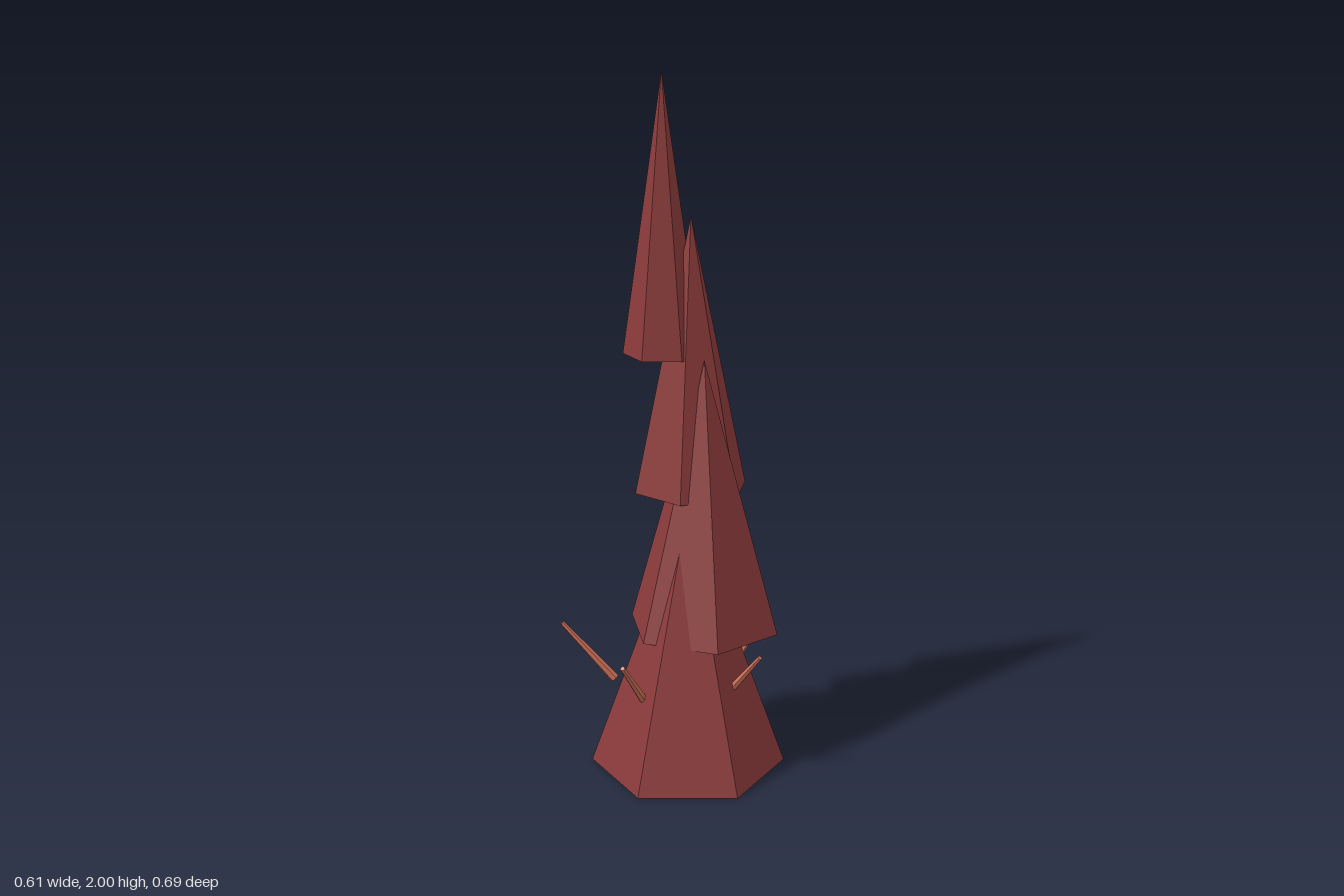
import * as THREE from 'three';

export function createModel() {
  const model = new THREE.Group();
  model.name = 'stackedSpire';

  const spireRed = new THREE.MeshStandardMaterial({ color: 0x8b3a3a, flatShading: true });
  spireRed.name = 'spireRed';
  const twigCopper = new THREE.MeshStandardMaterial({ color: 0xcd7058, flatShading: true });
  twigCopper.name = 'twigCopper';

  // Four six-sided cones, each narrower, shifted and twisted 40 degrees from the one below
  const height = 0.8;
  const centres = [[-0.031, 0.058], [0.045, 0.018], [0.0475, -0.063], [-0.018, -0.112]];
  centres.forEach(([x, z], i) => {
    const radius = 0.283 * (1 - i * 0.2);
    const cone = new THREE.Mesh(new THREE.ConeGeometry(radius, height, 6), spireRed);
    cone.name = `spireTier${i + 1}`;
    cone.position.set(x, i * 0.4 + height / 2, z);
    cone.rotation.y = THREE.MathUtils.degToRad(40 * i);
    model.add(cone);
  });

  // Tapered twigs leaning outwards around the lowest tier
  const twigs = [
    { base: [0.157, 0.215, -0.022], tip: [0.3, 0.39, -0.028] },
    { base: [0.03, 0.215, -0.205], tip: [0.078, 0.39, -0.339] },
    { base: [-0.17, 0.215, -0.138], tip: [-0.3, 0.39, -0.221] },
    { base: [-0.175, 0.215, 0.073], tip: [-0.3, 0.39, 0.16] },
    { base: [0.022, 0.215, 0.155], tip: [0.072, 0.39, 0.287] },
  ];
  const up = new THREE.Vector3(0, 1, 0);
  twigs.forEach(({ base, tip }, i) => {
    const a = new THREE.Vector3(...base);
    const b = new THREE.Vector3(...tip);
    const along = b.clone().sub(a);
    const twig = new THREE.Mesh(new THREE.CylinderGeometry(0.007, 0.014, along.length(), 6), twigCopper);
    twig.name = `twig${i + 1}`;
    twig.position.copy(a).add(b).multiplyScalar(0.5);
    twig.quaternion.setFromUnitVectors(up, along.normalize());
    model.add(twig);
  });

  return model;
}
